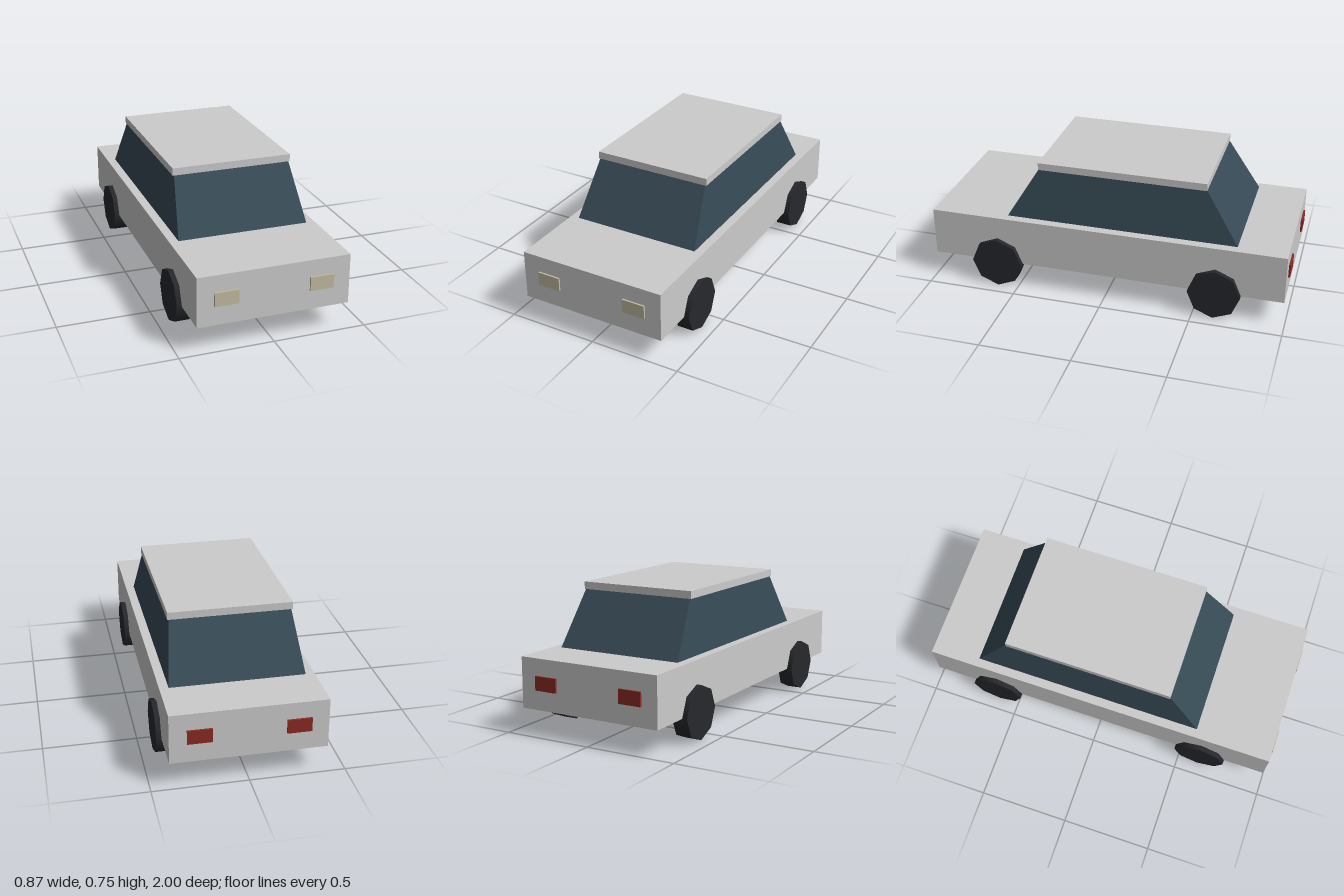
import * as THREE from 'three';

const mat = (color) => new THREE.MeshStandardMaterial({ color });

export function createModel() {
  const car = new THREE.Group();
  car.name = 'car';
  const paint = mat(0xcccccc), glass = mat(0x364a55), rubber = mat(0x26282d);
  const headlightMat = mat(0xc2baa0), taillightMat = mat(0x8c2a24);

  const add = (name, geometry, material, x, y, z) => {
    const mesh = new THREE.Mesh(geometry, material);
    mesh.name = name;
    mesh.position.set(x, y, z);
    car.add(mesh);
    return mesh;
  };

  // Lower body and roof slab
  add('body', new THREE.BoxGeometry(0.81, 0.27, 1.98), paint, 0, 0.28, 0);
  add('roof', new THREE.BoxGeometry(0.657, 0.04, 0.926), paint, 0, 0.726, -0.077);

  // Glass cabin: a box tapered towards the roof
  const cabin = new THREE.BoxGeometry(2, 0.29, 2);
  const p = cabin.attributes.position;
  for (let i = 0; i < p.count; i++) {
    const top = p.getY(i) > 0;
    const front = p.getZ(i) > 0;
    p.setX(i, Math.sign(p.getX(i)) * (top ? 0.321 : 0.357));
    p.setZ(i, top ? (front ? 0.385 : -0.539) : (front ? 0.563 : -0.72));
  }
  cabin.computeVertexNormals();
  add('cabinGlass', cabin, glass, 0, 0.561, 0);

  // Wheels: octagonal drums standing on a corner
  const wheel = new THREE.CylinderGeometry(0.144, 0.144, 0.087, 8).rotateZ(Math.PI / 2);
  const lamp = new THREE.BoxGeometry(0.127, 0.075, 0.02);
  for (const [side, s] of [['left', 1], ['right', -1]]) {
    add(side + 'FrontWheel', wheel, rubber, s * 0.389, 0.145, 0.615);
    add(side + 'RearWheel', wheel, rubber, s * 0.389, 0.145, -0.615);

    // Lamps standing slightly proud of the body
    add(side + 'Headlight', lamp, headlightMat, s * 0.252, 0.287, 0.99);
    add(side + 'Taillight', lamp, taillightMat, s * 0.252, 0.287, -0.99);
  }
  return car;
}
